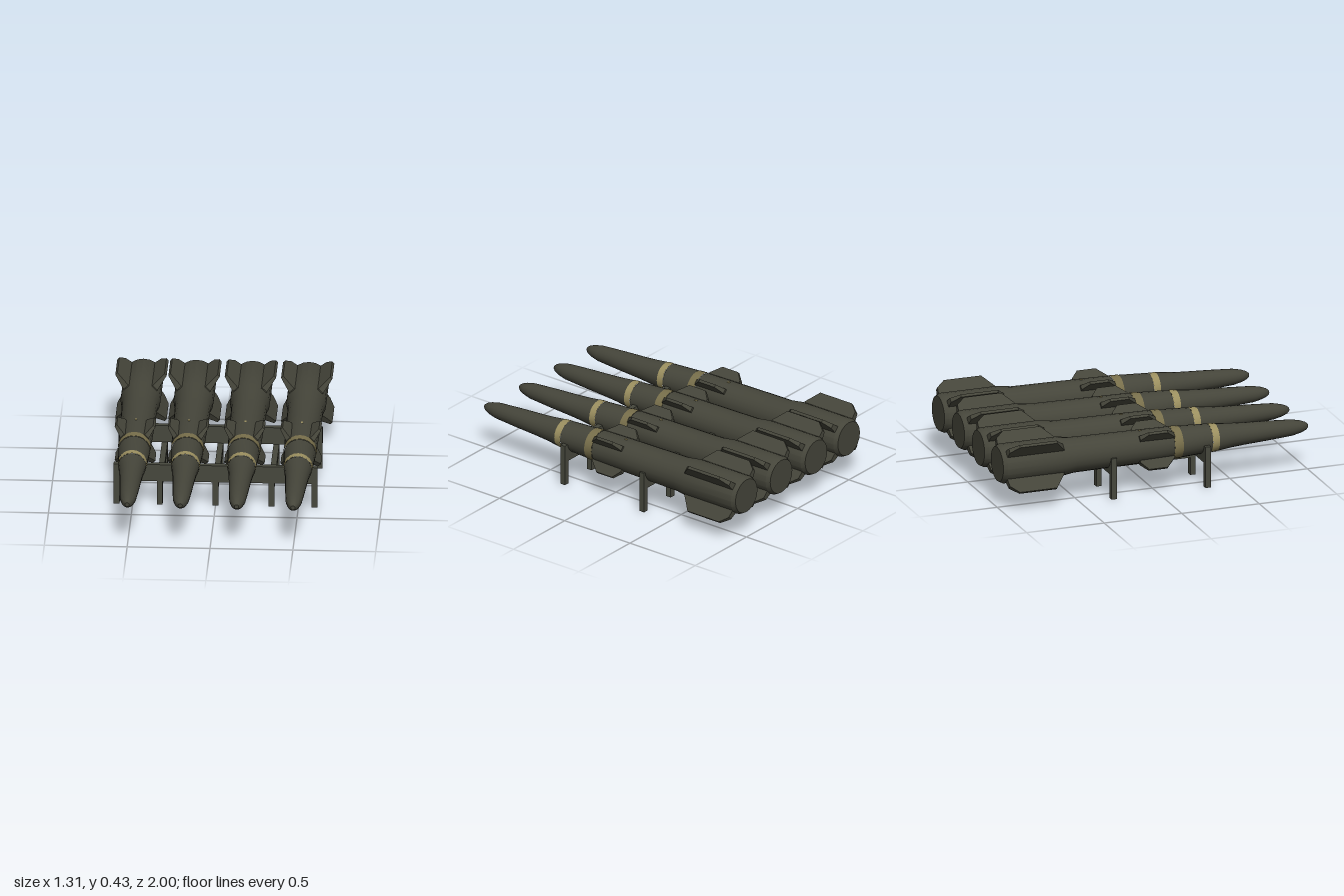
import * as THREE from 'three';
import { toCreasedNormals } from 'three/addons/utils/BufferGeometryUtils.js';

const material = (name, color) => {
  const m = new THREE.MeshStandardMaterial({ color });
  m.name = name;
  return m;
};

const AXIS_Y = 0.276;

// Turned section along z from [z, radius] pairs, tail to nose
function turned(points) {
  const g = new THREE.LatheGeometry(points.map(([z, r]) => new THREE.Vector2(r, z)), 20);
  g.rotateX(Math.PI / 2);
  return toCreasedNormals(g, 0.5);
}

// Fin standing on the z axis, thick at the root and thin at the tip
function finGeometry(outline, rootThick, tipThick) {
  const shape = new THREE.Shape(outline.map(([z, r]) => new THREE.Vector2(z, r)));
  const g = new THREE.ExtrudeGeometry(shape, { depth: 1, bevelEnabled: false });
  g.translate(0, 0, -0.5);
  const radii = outline.map((p) => p[1]);
  const lo = Math.min(...radii), hi = Math.max(...radii);
  const p = g.attributes.position;
  for (let i = 0; i < p.count; i++) {
    const t = (p.getY(i) - lo) / (hi - lo);
    p.setZ(i, p.getZ(i) * THREE.MathUtils.lerp(rootThick, tipThick, t));
  }
  g.rotateY(-Math.PI / 2);
  g.computeVertexNormals();
  return g;
}

export function createModel() {
  const olive = material('olive drab', 0x45453a);
  const tan = material('tan band', 0x9c9060);
  const dullTan = material('dull tan band', 0x786f4b);
  const rackPaint = material('rack paint', 0x47483d);

  const model = new THREE.Group();
  model.name = 'munitionRack';
  const add = (parent, name, geometry, mat) => {
    const mesh = new THREE.Mesh(geometry, mat);
    mesh.name = name;
    parent.add(mesh);
    return mesh;
  };

  // Body sections, shared by all four rounds
  const sections = [
    ['tailBody', olive, [[-1, 0], [-1, 0.108], [-0.975, 0.121], [-0.61, 0.121], [-0.52, 0.108],
      [-0.2, 0.104], [0, 0.101], [0.11, 0.099]]],
    ['rearBand', dullTan, [[0.11, 0.101], [0.167, 0.099]]],
    ['midBody', olive, [[0.167, 0.097], [0.36, 0.087]]],
    ['frontBand', tan, [[0.36, 0.088], [0.405, 0.086]]],
    ['nose', olive, [[0.405, 0.085], [0.5, 0.074], [0.58, 0.068], [0.75, 0.059], [0.9, 0.049],
      [0.955, 0.037], [0.985, 0.025], [1, 0.013], [1, 0]]],
  ].map(([name, mat, pts]) => [name, mat, turned(pts)]);

  const tailFin = finGeometry(
    [[-0.975, 0.09], [-0.605, 0.09], [-0.605, 0.125], [-0.67, 0.21], [-0.91, 0.21], [-0.965, 0.165]], 0.05, 0.018);
  const midFin = finGeometry(
    [[-0.11, 0.08], [0.115, 0.08], [0.115, 0.105], [0.055, 0.164], [-0.065, 0.164], [-0.11, 0.115]], 0.04, 0.018);

  [-0.5, -0.18, 0.16, 0.5].forEach((x) => {
    const round = new THREE.Group();
    round.name = 'round';
    round.position.set(x, AXIS_Y, 0);
    sections.forEach(([name, mat, g]) => add(round, name, g, mat));
    // Four fins of each kind in an X
    for (let k = 0; k < 4; k++) {
      const angle = Math.PI / 4 + k * Math.PI / 2;
      add(round, 'tailFin', tailFin, olive).rotation.z = angle;
      add(round, 'midFin', midFin, olive).rotation.z = angle;
    }
    // Small painted mark on top
    add(round, 'topMark', new THREE.BoxGeometry(0.012, 0.004, 0.018), tan).position.set(0, 0.102, -0.08);
    model.add(round);
  });

  // Rack: two cross beams on legs, tied by three rails
  const rack = new THREE.Group();
  rack.name = 'rack';
  model.add(rack);
  const T = 0.035, FRONT = 0.318, BACK = -0.288;
  for (const z of [FRONT, BACK]) {
    add(rack, 'crossBeam', new THREE.BoxGeometry(1.23, 0.108, T), rackPaint).position.set(0, 0.206, z);
    for (const x of [-0.597, -0.337, 0, 0.337, 0.597]) {
      add(rack, 'leg', new THREE.BoxGeometry(T, 0.153, T), rackPaint).position.set(x, 0.0765, z);
    }
  }
  for (const x of [-0.337, 0, 0.337]) {
    add(rack, 'rail', new THREE.BoxGeometry(T, 0.042, FRONT - BACK - T), rackPaint)
      .position.set(x, 0.131, (FRONT + BACK) / 2);
  }
  return model;
}
